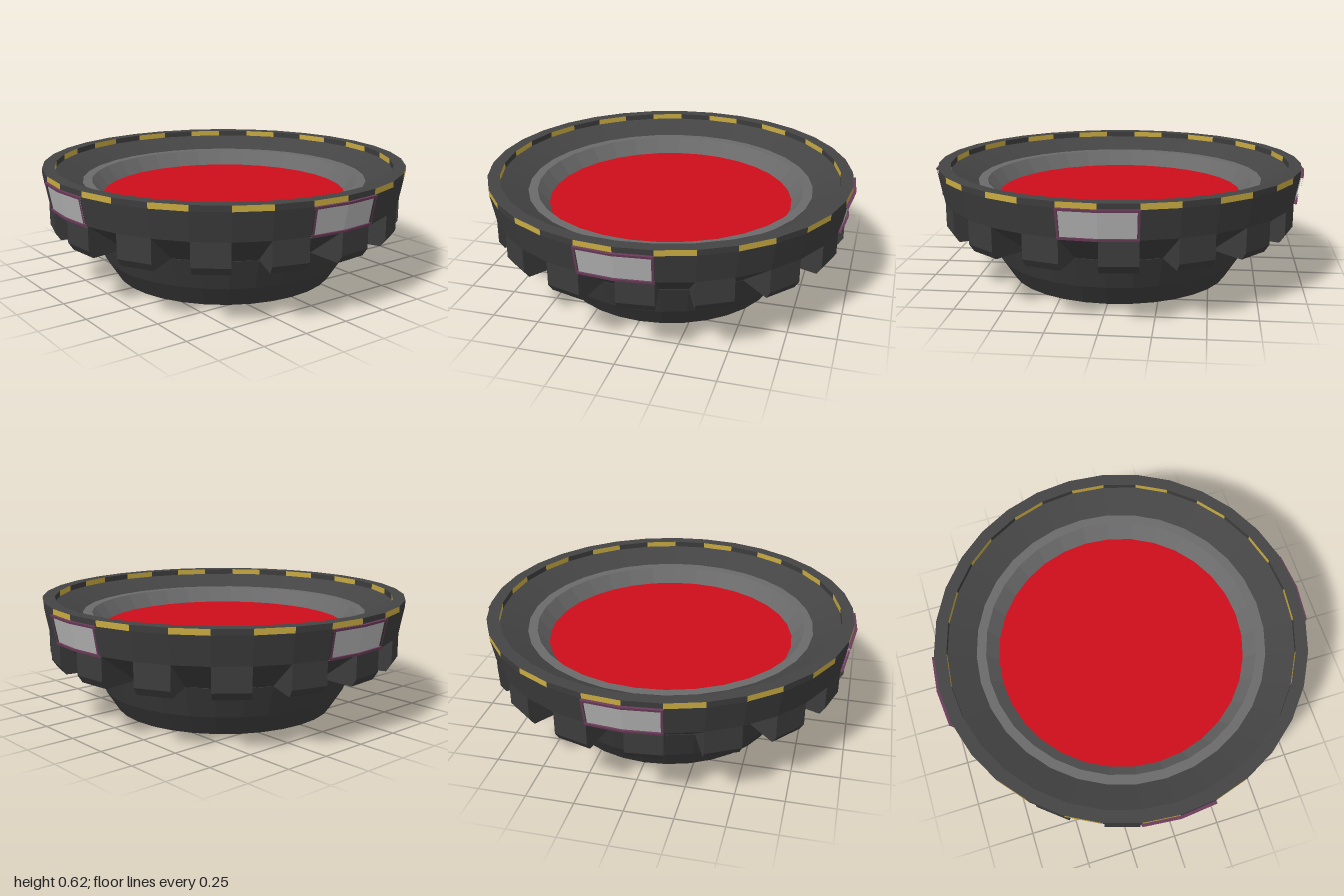
import * as THREE from 'three';

const SIDES = 32;
const STEP = (Math.PI * 2) / SIDES;

const mat = (color) => new THREE.MeshStandardMaterial({ color, flatShading: true, side: THREE.DoubleSide });

export function createModel() {
  const model = new THREE.Group();
  const dark = mat(0x3c3c3c);
  const hull = mat(0x444444);
  const lipGrey = mat(0x6a6a6a);
  const red = mat(0xcc0e1a);
  const yellow = mat(0xc8aa40);
  const frameColor = mat(0x6b3c5a);
  const glassColor = mat(0xb4b4b4);

  // Sweeps a [radius, height] profile around y; start is measured in facets from +z towards +x
  function ring(name, profile, material, parent = model, start = 0, span = SIDES, segments = span) {
    const points = profile.map(([r, y]) => new THREE.Vector2(r, y));
    const geometry = new THREE.LatheGeometry(points, segments, start * STEP, span * STEP);
    const mesh = new THREE.Mesh(geometry, material);
    mesh.name = name;
    parent.add(mesh);
    return mesh;
  }

  function group(name) {
    const g = new THREE.Group();
    g.name = name;
    model.add(g);
    return g;
  }

  // Base with a recessed underside
  ring('underside', [[0, 0.08], [0.44, 0.08], [0.46, 0.035], [0.6, 0]], dark);
  ring('base', [[0.6, 0], [0.67, 0.11], [0.735, 0.275]], dark);

  // Outer wall, rim and dished interior
  ring('outerWall', [[0.957, 0.44], [0.985, 0.59]], dark);
  ring('rimTop', [[0.985, 0.62], [0.92, 0.62]], hull);
  ring('dish', [[0.92, 0.59], [0.775, 0.53]], hull);
  ring('lip', [[0.775, 0.53], [0.725, 0.53], [0.665, 0.45]], lipGrey);
  ring('floor', [[0.665, 0.45], [0, 0.45]], red);

  // Alternating stripes on both faces of the rim
  const stripes = group('rimStripes');
  for (let i = 0; i < SIDES; i++) {
    const material = i % 2 ? yellow : dark;
    ring('outerStripe', [[0.985, 0.59], [0.985, 0.62]], material, stripes, i, 1);
    ring('innerStripe', [[0.92, 0.62], [0.92, 0.59]], material, stripes, i, 1);
  }

  // Wedge blocks separated by sloping gaps below the wall
  const blocks = group('wedgeBlocks');
  const section = [[0.73, 0.275], [0.93, 0.275], [0.957, 0.315], [0.957, 0.44]];
  const cheek = new THREE.ShapeGeometry(new THREE.Shape(section.map(([x, y]) => new THREE.Vector2(x, y))));
  for (let i = 0; i < SIDES; i++) {
    if (i % 2 === 0) ring('block', section, dark, blocks, i, 1);
    else ring('gapSlope', [section[0], section[3]], dark, blocks, i, 1);
    const side = new THREE.Mesh(cheek, dark);
    side.name = 'blockSide';
    side.rotation.y = i * STEP - Math.PI / 2;
    blocks.add(side);
  }

  // Four framed windows, each bent over two facets
  const wall = (y, offset) => [0.957 + ((y - 0.44) / 0.15) * 0.028 + offset, y];
  for (let k = 0; k < 4; k++) {
    const window = group('window');
    ring('glass', [wall(0.45, 0.005), wall(0.58, 0.005)], glassColor, window, -0.94, 1.88, 2);
    for (const y of [0.438, 0.58]) {
      const bar = [wall(y, -0.003), wall(y, 0.016), wall(y + 0.012, 0.016), wall(y + 0.012, -0.003)];
      ring('frameBar', bar, frameColor, window, -1, 2, 2);
    }
    for (const start of [-1, 0.94]) {
      const post = [wall(0.44, 0), wall(0.44, 0.014), wall(0.59, 0.014), wall(0.59, 0)];
      ring('framePost', post, frameColor, window, start, 0.06, 1);
    }
    window.rotation.y = (k * Math.PI) / 2;
  }

  return model;
}
